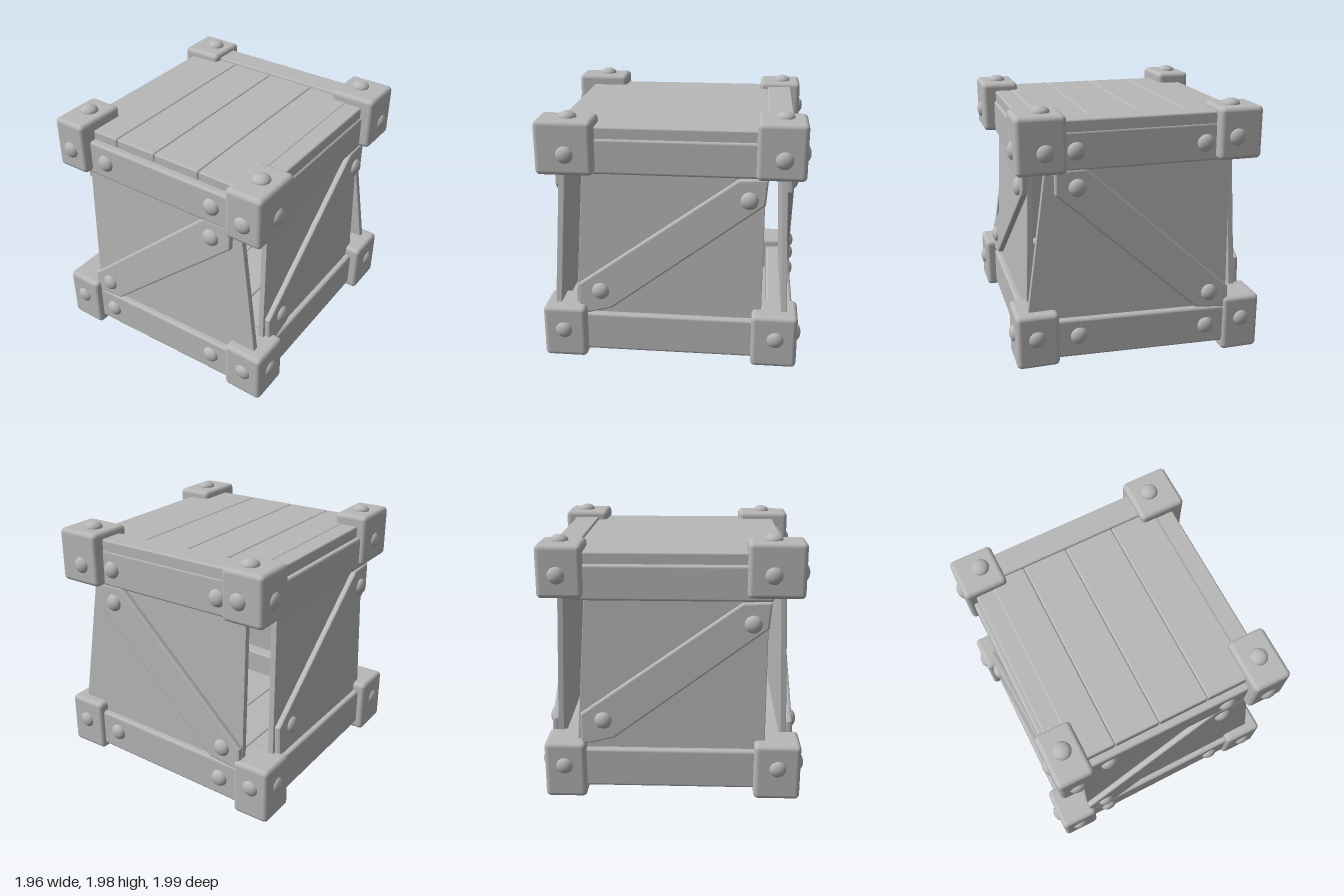
import * as THREE from 'three';
import { RoundedBoxGeometry } from 'three/addons/geometries/RoundedBoxGeometry.js';

const grey = new THREE.MeshStandardMaterial({ color: 0xb8b8b8 });
grey.name = 'plain grey';

function add(parent, geometry, name) {
  const mesh = new THREE.Mesh(geometry, grey);
  mesh.name = name;
  parent.add(mesh);
  return mesh;
}

// Rounded box from its limits; slope lifts it along x
function box(parent, name, [x0, x1], [y0, y1], [z0, z1], radius = 0.02, slope = 0) {
  const g = new RoundedBoxGeometry(x1 - x0, y1 - y0, z1 - z0, 3, radius);
  g.translate((x0 + x1) / 2, (y0 + y1) / 2, (z0 + z1) / 2);
  if (slope) g.applyMatrix4(new THREE.Matrix4().makeShear(slope, 0, 0, 0, 0, 0));
  return add(parent, g, name);
}

// Domed rivet whose head points along the given direction
const dome = new THREE.SphereGeometry(0.066, 20, 8, 0, Math.PI * 2, 0, Math.PI / 2);
dome.scale(1, 0.65, 1);
function rivet(parent, position, direction) {
  const mesh = add(parent, dome, 'rivet');
  mesh.position.set(...position);
  mesh.quaternion.setFromUnitVectors(new THREE.Vector3(0, 1, 0), new THREE.Vector3(...direction));
}

// Flat board cut to an outline, with softened edges
function board(parent, name, points, z, depth, bevel) {
  const shape = new THREE.Shape(points.map(([x, y]) => new THREE.Vector2(x, y)));
  const g = new THREE.ExtrudeGeometry(shape, {
    depth: depth - 2 * bevel, bevelEnabled: bevel > 0, bevelThickness: bevel,
    bevelSize: bevel, bevelOffset: -bevel, bevelSegments: 2,
  });
  g.translate(0, 0, z + bevel);
  return add(parent, g, name);
}

// One wall: leaning panel and brace between two beams, facing local +z
function wall(o) {
  const group = new THREE.Group();
  group.name = o.name;
  group.rotation.y = o.angle;
  const m = o.mirror ? -1 : 1;
  const flip = (pts) => pts.map(([x, y]) => [m * x, y]);

  const leaning = new THREE.Group();
  leaning.name = 'bracedPanel';
  leaning.position.set(0, 0.95, o.out);
  leaning.rotation.x = -0.035;
  group.add(leaning);
  const lower = (pts) => flip(pts).map(([x, y]) => [x, y - 0.95]);
  board(leaning, 'panel', lower(o.panel), -0.09, 0.045, 0.004);
  board(leaning, 'diagonalBrace', lower(o.brace), -0.05, 0.05, 0.014);
  for (const [x, y] of lower(o.braceRivets)) rivet(leaning, [x, y, -0.004], [0, 0, 1]);

  const top = o.out - 0.02, bottom = o.out + 0.02;
  box(group, 'topBeam', [-0.72, 0.72], o.topY, [o.out - 0.18, top], 0.02);
  box(group, 'bottomBeam', [-0.72, 0.72], o.bottomY, [o.out - 0.18, bottom], 0.022, m * (o.slope || 0));
  if (o.cap) box(group, 'topCapStrip', [-0.75, 0.75], [1.72, o.cap[2]], [o.cap[0], o.cap[1]], 0.015);
  for (const [x, y] of flip(o.beamRivets || []))
    rivet(group, [x, y, (y > 1 ? top : bottom) - 0.004], [0, 0, 1]);
  return group;
}

export function createModel() {
  const crate = new THREE.Group();
  crate.name = 'crate';

  // Lid and floor planks
  const seams = [-0.68, -0.405, -0.06, 0.325, 0.68];
  for (let i = 0; i < 4; i++) {
    const xs = [seams[i], seams[i + 1]];
    box(crate, 'lidPlank', xs, [1.74, 1.86], [-0.8, 0.815], 0.014);
    box(crate, 'floorPlank', xs, [0.065, 0.19], [-0.86, 0.86], 0.014, 0.035);
  }

  // Four walls
  const wide = {
    panel: [[-0.69, 0.25], [0.88, 0.25], [0.68, 1.6], [-0.69, 1.6]],
    brace: [[-0.69, 0.36], [-0.435, 0.385], [0.63, 1.355], [0.63, 1.53], [0.4, 1.53], [-0.69, 0.53]],
    braceRivets: [[0.47, 1.4], [-0.535, 0.5]],
    beamRivets: [[-0.48, 1.655], [0.475, 1.66], [-0.515, 0.23], [0.48, 0.28]],
    bottomY: [0.095, 0.395], slope: 0.035,
  };
  const narrow = {
    panel: [[-0.72, 0.25], [0.69, 0.25], [0.69, 1.6], [-0.63, 1.6]],
    brace: [[-0.68, 0.42], [-0.6, 0.42], [-0.43, 0.465], [0.695, 1.315], [0.71, 1.51], [0.5, 1.5], [-0.68, 0.65]],
    braceRivets: [[-0.51, 0.605], [0.58, 1.35]],
    topY: [1.51, 1.77], cap: [0.63, 0.815, 1.855],
  };
  crate.add(
    wall({ ...wide, name: 'frontWall', angle: 0, out: 0.89, topY: [1.515, 1.79] }),
    wall({ ...wide, name: 'backWall', angle: Math.PI, out: 0.91, mirror: true, topY: [1.52, 1.8], cap: [0.69, 0.885, 1.88] }),
    wall({ ...narrow, name: 'leftWall', angle: Math.PI / 2, out: 0.85, bottomY: [0.11, 0.415] }),
    wall({ ...narrow, name: 'rightWall', angle: -Math.PI / 2, out: 0.87, bottomY: [0.07, 0.375] }),
  );

  // Corner blocks: x, y and z limits, then the centre used for the rivets
  const corners = [
    [[-0.89, -0.62], [1.54, 1.94], [0.53, 0.94], [-0.755, 1.71, 0.71]],
    [[0.63, 0.92], [1.52, 1.915], [0.525, 0.94], [0.775, 1.675, 0.72]],
    [[-0.89, -0.56], [1.53, 1.915], [-0.96, -0.63], [-0.695, 1.7, -0.81]],
    [[0.555, 0.91], [1.52, 1.93], [-0.97, -0.62], [0.705, 1.675, -0.81]],
    [[-0.95, -0.65], [0.01, 0.445], [0.61, 0.955], [-0.81, 0.26, 0.785]],
    [[0.63, 0.945], [0.08, 0.49], [0.615, 0.94], [0.795, 0.305, 0.785]],
    [[-0.945, -0.65], [0, 0.44], [-0.95, -0.64], [-0.8, 0.26, -0.8]],
    [[0.63, 0.945], [0.075, 0.49], [-0.96, -0.62], [0.795, 0.305, -0.8]],
  ];
  for (const [xs, ys, zs, [x, y, z]] of corners) {
    const corner = new THREE.Group();
    corner.name = 'corner';
    crate.add(corner);
    box(corner, 'cornerBlock', xs, ys, zs, 0.035);
    const sx = Math.sign(x), sz = Math.sign(z);
    rivet(corner, [sx > 0 ? xs[1] - 0.012 : xs[0] + 0.012, y, z], [sx, 0, 0]);
    rivet(corner, [x, y, sz > 0 ? zs[1] - 0.012 : zs[0] + 0.012], [0, 0, sz]);
    if (y > 1) rivet(corner, [x, ys[1], z], [0, 1, 0]);
  }
  return crate;
}
